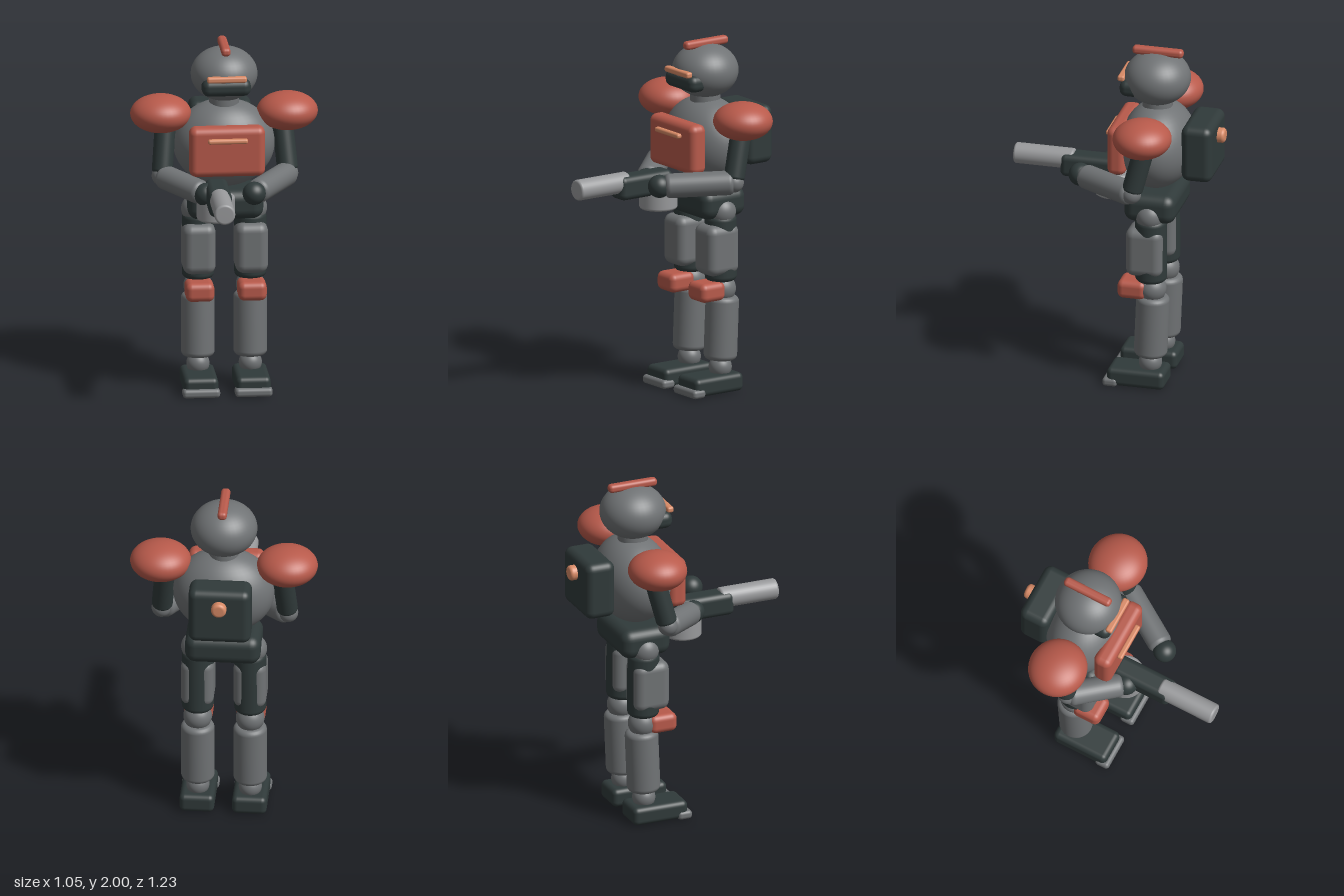
import * as THREE from 'three';
import { RoundedBoxGeometry } from 'three/addons/geometries/RoundedBoxGeometry.js';

const paint = (name, color) => {
  const m = new THREE.MeshStandardMaterial({ color });
  m.name = name;
  return m;
};

export function createModel() {
  const model = new THREE.Group();
  model.name = 'armouredRobot';

  const grey = paint('bodyGrey', 0x707375);
  const light = paint('lightMetal', 0x98999b);
  const dark = paint('darkPlate', 0x303a3a);
  const red = paint('armourRed', 0xb85a4b);
  const orange = paint('trimOrange', 0xd88a66);

  const add = (name, geometry, material, [x, y, z]) => {
    const mesh = new THREE.Mesh(geometry, material);
    mesh.name = name;
    mesh.position.set(x, y, z);
    model.add(mesh);
    return mesh;
  };

  const box = (name, mat, pos, [w, h, d], r) =>
    add(name, new RoundedBoxGeometry(w, h, d, 4, r), mat, pos);

  const ball = (name, mat, pos, rx, ry = rx, rz = rx) => {
    const mesh = add(name, new THREE.SphereGeometry(1, 40, 28), mat, pos);
    mesh.scale.set(rx, ry, rz);
    return mesh;
  };

  // Cylinder with softly rounded rims, running from point a to point b
  const rod = (name, mat, a, b, r, bevel) => {
    const from = new THREE.Vector3(...a);
    const dir = new THREE.Vector3(...b).sub(from);
    const half = dir.length() / 2;
    const profile = [new THREE.Vector2(0, -half)];
    for (const side of [-1, 1]) {
      for (let i = 0; i <= 5; i++) {
        const t = (i / 5) * Math.PI / 2;
        const q = side < 0 ? t : Math.PI / 2 - t;
        profile.push(new THREE.Vector2(
          r - bevel + bevel * Math.sin(q),
          side * (half - bevel + bevel * Math.cos(q))
        ));
      }
    }
    profile.push(new THREE.Vector2(0, half));
    const mid = from.clone().addScaledVector(dir, 0.5);
    const mesh = add(name, new THREE.LatheGeometry(profile, 36), mat, mid.toArray());
    mesh.quaternion.setFromUnitVectors(new THREE.Vector3(0, 1, 0), dir.normalize());
    return mesh;
  };

  // Head
  ball('head', grey, [0, 1.82, -0.225], 0.187, 0.153, 0.187);
  box('headCrest', red, [0, 1.976, -0.228], [0.052, 0.048, 0.292], 0.02);
  box('visor', dark, [0, 1.778, -0.09], [0.274, 0.096, 0.115], 0.04);
  box('browTrim', orange, [0, 1.833, -0.04], [0.222, 0.034, 0.04], 0.012);
  rod('neck', grey, [0, 1.6, -0.225], [0, 1.72, -0.225], 0.085, 0.015);

  // Torso and backpack
  ball('torso', grey, [0, 1.42, -0.23], 0.285, 0.25, 0.21);
  box('chestPlate', red, [0, 1.422, -0.035], [0.424, 0.286, 0.108], 0.04);
  box('chestTrim', orange, [0, 1.494, 0.03], [0.224, 0.028, 0.034], 0.012);
  box('backpack', dark, [0, 1.436, -0.488], [0.35, 0.332, 0.178], 0.045);
  rod('backpackKnob', orange, [0, 1.505, -0.55], [0, 1.505, -0.618], 0.043, 0.018);
  box('pelvis', dark, [0, 1.087, -0.222], [0.424, 0.17, 0.296], 0.06);

  // Arms: both hands reach inward, the right one to the blaster grip
  const hands = { left: [0.133, 1.235, 0.187], right: [-0.13, 1.205, 0.085] };
  for (const [side, s] of [['left', 1], ['right', -1]]) {
    const elbow = [0.355 * s, 1.25, -0.165];
    const hand = hands[side];
    const wrist = elbow.map((v, i) => v + (hand[i] - v) * 0.93);
    ball(side + 'ShoulderPad', red, [0.355 * s, 1.595, -0.228], 0.171, 0.107, 0.165);
    rod(side + 'UpperArm', dark, [0.325 * s, 1.57, -0.245], [0.352 * s, 1.265, -0.168], 0.059, 0.02);
    ball(side + 'Elbow', grey, elbow, 0.056);
    rod(side + 'Forearm', grey, elbow, wrist, 0.069, 0.03);
    ball(side + 'Hand', dark, hand, 0.065);
  }

  // Blaster
  box('blasterBody', dark, [-0.066, 1.207, 0.165], [0.13, 0.136, 0.36], 0.035);
  rod('blasterBarrel', light, [-0.068, 1.233, 0.27], [-0.068, 1.233, 0.615], 0.059, 0.014);
  rod('drumMagazine', light, [-0.07, 1.05, 0.048], [-0.07, 1.19, 0.048], 0.107, 0.015);

  // Legs
  for (const [side, s] of [['left', 1], ['right', -1]]) {
    const x = 0.147 * s;
    ball(side + 'Hip', grey, [0.16 * s, 1.04, -0.222], 0.081);
    rod(side + 'Thigh', dark, [x, 1.02, -0.224], [x, 0.64, -0.226], 0.09, 0.03);
    box(side + 'ThighPlate', grey, [x, 0.826, -0.198], [0.184, 0.29, 0.212], 0.05);
    ball(side + 'Knee', grey, [x, 0.592, -0.232], 0.08);
    box(side + 'KneePad', red, [x, 0.592, -0.128], [0.16, 0.108, 0.166], 0.035);
    rod(side + 'Shin', grey, [x, 0.55, -0.237], [x, 0.185, -0.222], 0.094, 0.03);
    ball(side + 'Ankle', grey, [x, 0.142, -0.222], 0.065);
    box(side + 'Foot', dark, [x, 0.06, -0.155], [0.194, 0.106, 0.33], 0.03);
    box(side + 'Toe', grey, [x, 0.029, -0.01], [0.21, 0.05, 0.085], 0.02);
  }

  // Rest the soles on the ground
  const lowest = new THREE.Box3().setFromObject(model).min.y;
  model.children.forEach((part) => { part.position.y -= lowest; });
  return model;
}
